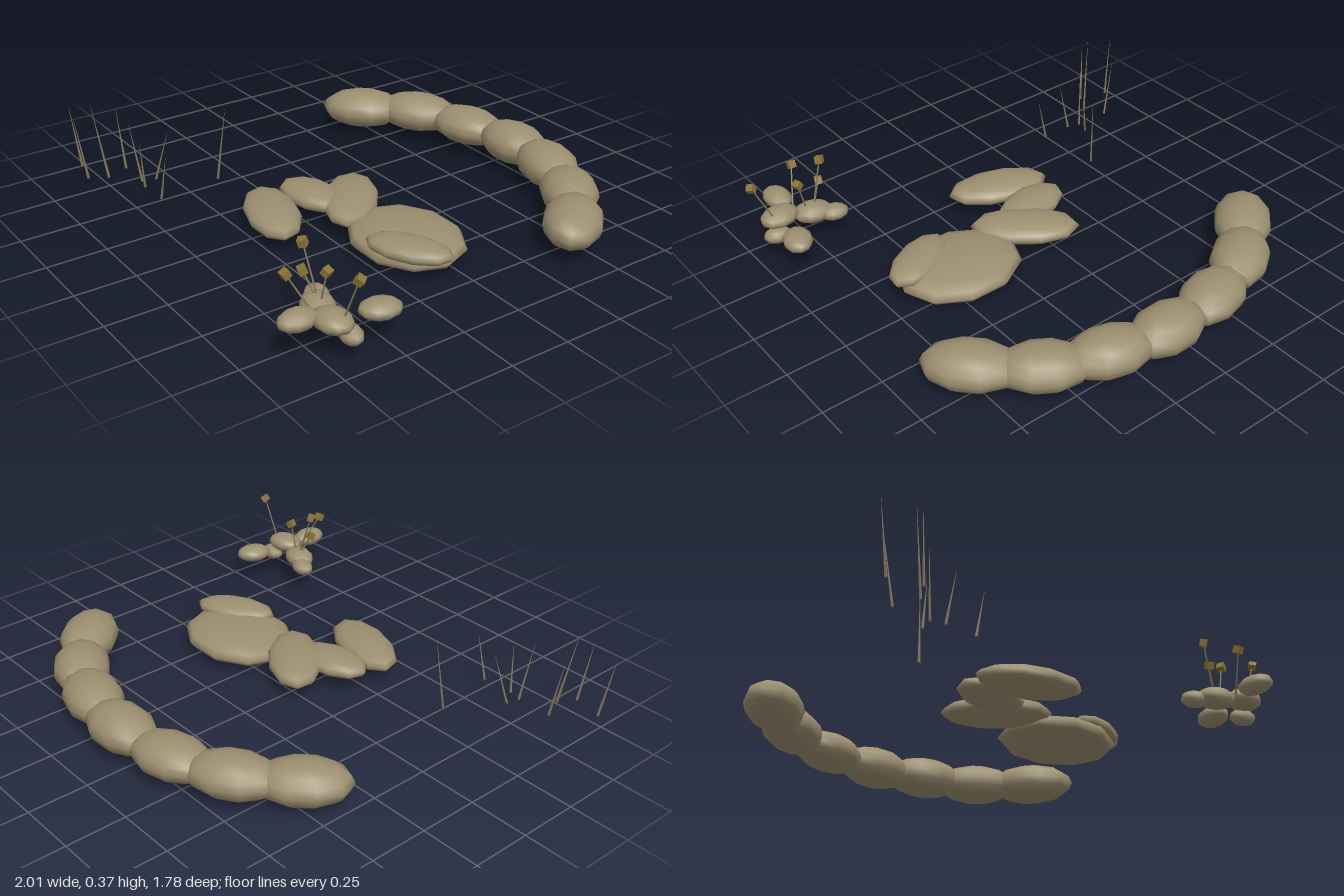
import * as THREE from 'three';

export function createModel() {
  const root = new THREE.Group();
  const stoneMat = new THREE.MeshStandardMaterial({ color: 0x9c8f70 });
  stoneMat.name = 'tan stone';
  const budMat = new THREE.MeshStandardMaterial({ color: 0x8a7334 });
  budMat.name = 'ochre bud';
  const stemMat = new THREE.MeshStandardMaterial({ color: 0x877b60 });
  stemMat.name = 'dry stem';

  const group = (name) => {
    const g = new THREE.Group();
    g.name = name;
    root.add(g);
    return g;
  };

  // Coarse ellipsoid shared by every stone, smooth shaded
  const stoneGeo = new THREE.SphereGeometry(1, 10, 8);
  const addStones = (parent, name, list) => {
    for (const [x, y, z, rx, ry, rz, deg, tilt = 0] of list) {
      const m = new THREE.Mesh(stoneGeo, stoneMat);
      m.name = name;
      m.position.set(x, y, z);
      m.scale.set(rx, ry, rz);
      m.rotation.set(0, THREE.MathUtils.degToRad(deg), THREE.MathUtils.degToRad(tilt));
      parent.add(m);
    }
  };

  // Tapered rod between two points
  const addRod = (parent, name, mat, a, b, r0, r1, sides) => {
    const from = new THREE.Vector3(...a), to = new THREE.Vector3(...b);
    const dir = to.clone().sub(from);
    const m = new THREE.Mesh(new THREE.CylinderGeometry(r1, r0, dir.length(), sides), mat);
    m.name = name;
    m.position.copy(from).add(to).multiplyScalar(0.5);
    m.quaternion.setFromUnitVectors(new THREE.Vector3(0, 1, 0), dir.normalize());
    parent.add(m);
    return m;
  };

  // Curved row of border stones at the back
  addStones(group('stoneArc'), 'arcStone', [
    [-0.615, 0.11, -0.475, 0.185, 0.085, 0.12, 45],
    [-0.425, 0.115, -0.645, 0.185, 0.085, 0.118, 34],
    [-0.18, 0.11, -0.74, 0.18, 0.08, 0.118, 15],
    [0.09, 0.115, -0.775, 0.175, 0.087, 0.118, 2],
    [0.34, 0.117, -0.74, 0.18, 0.087, 0.118, -15],
    [0.57, 0.11, -0.645, 0.18, 0.085, 0.118, -33],
    [0.765, 0.11, -0.48, 0.19, 0.085, 0.12, -47],
  ]);

  // Flat slab with stones leaning around it
  const middle = group('middleStones');
  addStones(middle, 'slab', [[0.425, 0.06, 0.065, 0.265, 0.06, 0.215, 0]]);
  addStones(middle, 'slabStone', [
    [0.08, 0.085, 0.085, 0.225, 0.05, 0.115, -38],
    [-0.035, 0.09, 0.19, 0.17, 0.045, 0.1, 10],
    [-0.015, 0.077, 0.395, 0.22, 0.05, 0.11, -18],
    [0.56, 0.1, 0.155, 0.18, 0.042, 0.09, 28],
  ]);

  // Small pebble cluster
  const cluster = group('pebbleCluster');
  addStones(cluster, 'pebble', [
    [0.885, 0.138, 0.525, 0.08, 0.037, 0.06, 70],
    [0.655, 0.115, 0.63, 0.06, 0.033, 0.045, -15],
    [0.73, 0.125, 0.675, 0.083, 0.042, 0.062, -15],
    [0.865, 0.145, 0.705, 0.085, 0.04, 0.065, 8],
    [0.815, 0.16, 0.81, 0.078, 0.038, 0.055, 90],
    [0.905, 0.095, 0.66, 0.058, 0.033, 0.042, -10],
  ]);

  // Budded stems growing from the pebbles
  const budGeo = new THREE.BoxGeometry(0.03, 0.03, 0.03);
  [
    [[0.73, 0.13, 0.67], [0.665, 0.345, 0.69]],
    [[0.73, 0.13, 0.67], [0.676, 0.245, 0.7]],
    [[0.79, 0.14, 0.73], [0.735, 0.292, 0.805]],
    [[0.75, 0.13, 0.68], [0.784, 0.279, 0.672]],
    [[0.885, 0.13, 0.685], [0.98, 0.343, 0.678]],
  ].forEach(([a, b], i) => {
    const stem = addRod(cluster, 'stem', stemMat, a, b, 0.004, 0.003, 5);
    const bud = new THREE.Mesh(budGeo, budMat);
    bud.name = 'bud';
    bud.position.set(...b);
    bud.quaternion.copy(stem.quaternion);
    bud.rotateY(0.7 + i * 0.4);
    bud.rotateX(0.3);
    cluster.add(bud);
  });

  // Sparse pointed grass blades: base x, z, then tip x, y, z
  const grass = group('grass');
  [
    [-0.958, 0.78, -1.0, 0.29, 0.8],
    [-0.828, 0.635, -0.875, 0.28, 0.64],
    [-0.787, 0.735, -0.835, 0.345, 0.77],
    [-0.83, 0.81, -0.86, 0.29, 0.84],
    [-0.66, 0.577, -0.612, 0.24, 0.535],
    [-0.673, 0.635, -0.702, 0.28, 0.665],
    [-0.617, 0.65, -0.59, 0.23, 0.675],
    [-0.48, 0.645, -0.435, 0.22, 0.637],
    [-0.512, 0.36, -0.487, 0.34, 0.325],
  ].forEach(([x, z, tx, ty, tz]) =>
    addRod(grass, 'blade', stemMat, [x, 0.02, z], [tx, ty, tz], 0.0065, 0.0005, 4));

  return root;
}
